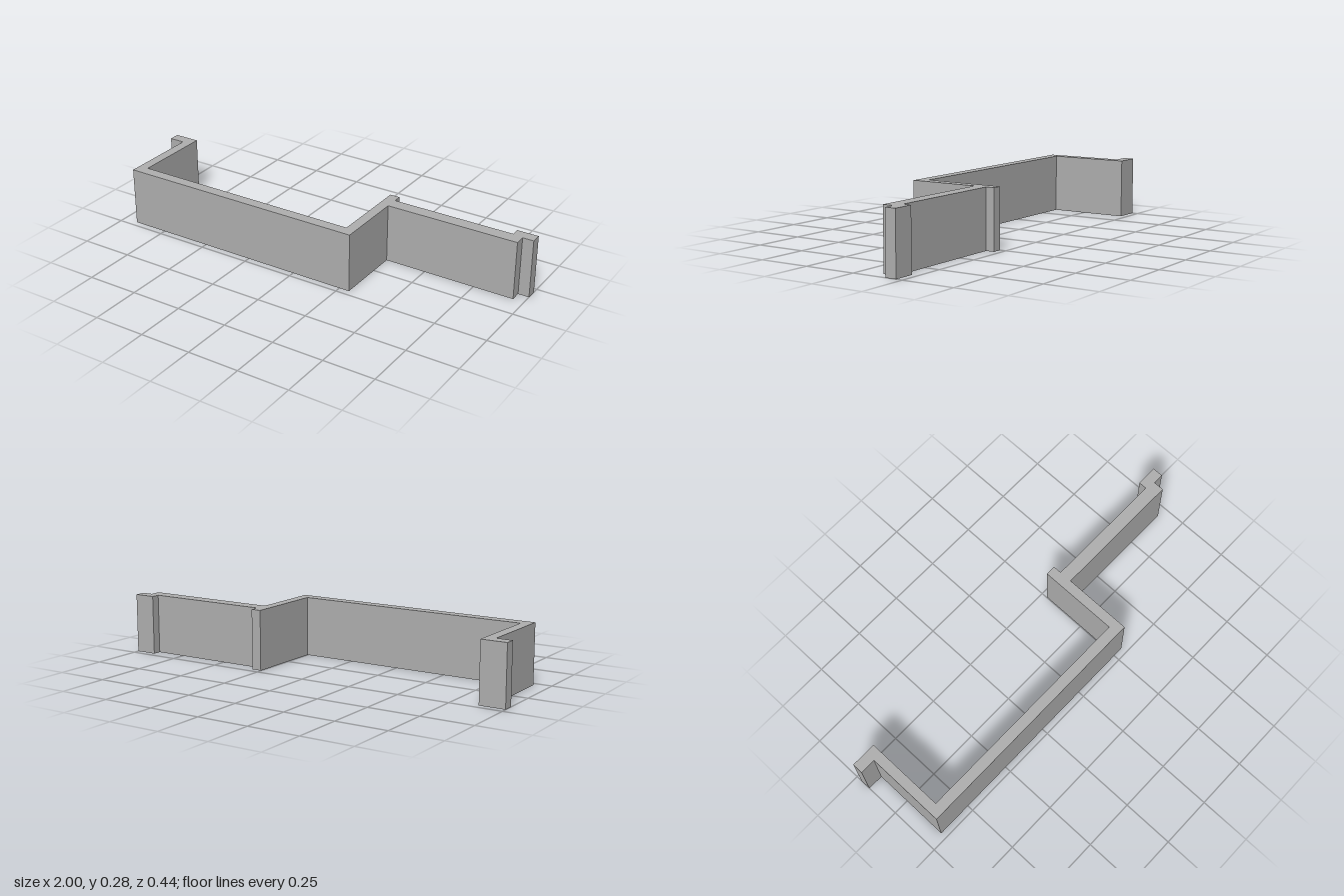
import * as THREE from 'three';

const HEIGHT = 0.285;

// Plan outline of the folded strip, as [x, z] corners
const OUTLINE = [
  // outer face: left flange, left wall, front panel, step
  [-1, -0.22], [-1, -0.168], [-0.924, -0.168], [-0.924, 0.22],
  [0.3, 0.22], [0.3, -0.116],
  // side panel and end flange
  [0.947, -0.116], [0.947, -0.168], [1, -0.168], [1, -0.22],
  [0.897, -0.22], [0.897, -0.179], [0.3, -0.179],
  // rear stub and inner face
  [0.3, -0.22], [0.252, -0.22], [0.252, 0.168],
  [-0.876, 0.168], [-0.876, -0.22],
];

export function createModel() {
  const group = new THREE.Group();
  group.name = 'bracket';

  const grey = new THREE.MeshStandardMaterial({ color: 0xb0b0b0 });
  grey.name = 'grey';

  // Stand the outline up along y
  const shape = new THREE.Shape(OUTLINE.map(([x, z]) => new THREE.Vector2(x, -z)));
  const geometry = new THREE.ExtrudeGeometry(shape, { depth: HEIGHT, bevelEnabled: false });
  geometry.rotateX(-Math.PI / 2);

  const profile = new THREE.Mesh(geometry, grey);
  profile.name = 'foldedProfile';
  group.add(profile);
  return group;
}
